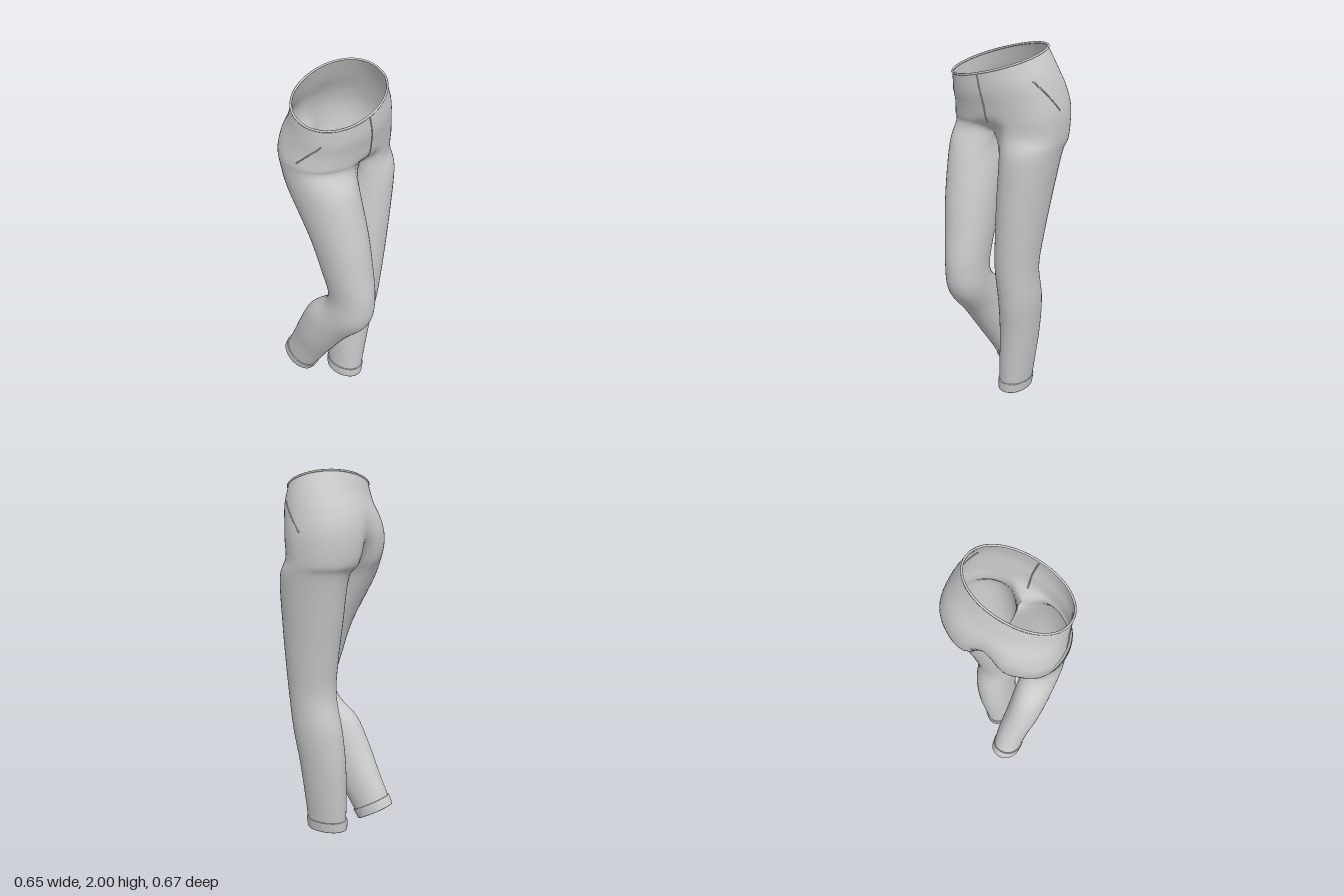
import * as THREE from 'three';
import { mergeVertices } from 'three/addons/utils/BufferGeometryUtils.js';

const NH = 32, NB = 14, SUB = 6;       // outer columns, inner-thigh columns, rows per key
const SPREAD = 0.87;                   // how far the outer columns wrap around a leg

// Hip rings: y, cx, half width, front z, back z, tilt, front dip, back cleft, roundness
const HIP = [
  [1.925, -0.038, 0.272, 0.215, -0.165, 1, 0, 0, 0.96],
  [1.83, -0.017, 0.295, 0.215, -0.2, 0.8, 0, 0, 0.92],
  [1.74, -0.004, 0.312, 0.202, -0.25, 0.5, 0, 0.012, 0.88],
  [1.65, 0, 0.325, 0.19, -0.268, 0.25, 0.006, 0.035, 0.85],
  [1.555, 0, 0.321, 0.186, -0.253, -0.3, 0.06, 0.085, 0.85],
];
const SPLIT = HIP.length - 1;

// Leg rings: cx, cy, cz, half width, half depth, pitch
const LEFT = [
  [0.154, 1.45, 0.005, 0.151, 0.19, 0],
  [0.131, 1.2, 0.03, 0.134, 0.17, 0],
  [0.114, 1.0, 0.045, 0.123, 0.15, 0],
  [0.099, 0.8, 0.05, 0.113, 0.135, 0],
  [0.099, 0.6, 0.018, 0.108, 0.143, 0],
  [0.083, 0.4, -0.005, 0.102, 0.135, 0],
  [0.063, 0.2, -0.011, 0.093, 0.123, 0],
  [0.045, 0.006, -0.013, 0.079, 0.112, 0],
];
const RIGHT = [
  [-0.16, 1.45, 0.02, 0.157, 0.2, 0.1],
  [-0.15, 1.2, 0.115, 0.14, 0.165, 0.15],
  [-0.14, 1.0, 0.163, 0.125, 0.15, 0.12],
  [-0.134, 0.82, 0.195, 0.109, 0.14, 0],
  [-0.138, 0.69, 0.167, 0.108, 0.145, -0.25],
  [-0.145, 0.555, 0.04, 0.105, 0.145, -0.45],
  [-0.14, 0.4, -0.058, 0.1, 0.132, -0.5],
  [-0.125, 0.25, -0.145, 0.09, 0.12, -0.51],
  [-0.122, 0.09, -0.235, 0.08, 0.108, -0.51],
];
const legOf = side => (side > 0 ? LEFT : RIGHT);
const spow = (v, e) => Math.sign(v) * Math.abs(v) ** e;

function hipPoint(side, k, j) {
  const [y, cx, hw, zf, zb, tilt, dip, cleft, e] = HIP[k];
  const t = Math.PI * j / NH, cz = (zf + zb) / 2;
  const dx = side * hw * spow(Math.sin(t), e);
  let z = cz + (zf - zb) / 2 * spow(Math.cos(t), e);
  const mid = Math.exp(-((dx / 0.07) ** 2));
  z += (Math.cos(t) > 0 ? -dip : cleft) * mid;
  return new THREE.Vector3(cx + dx, y + tilt * (0.2 * dx - 0.28 * (z - cz)), z);
}

function legPoint(side, key, j, scale = 1) {
  const [cx, cy, cz, rx, rz, pitch] = key;
  const phi = j <= NH ? -SPREAD + (Math.PI + 2 * SPREAD) * j / NH
    : Math.PI + SPREAD + (Math.PI - 2 * SPREAD) * (j - NH) / NB;
  const d = scale * rz * spow(Math.cos(phi), 0.95);
  return new THREE.Vector3(cx + side * scale * rx * spow(Math.sin(phi), 0.95),
    cy + d * Math.sin(pitch), cz + d * Math.cos(pitch));
}

function keyPoint(side, k, j) {
  const leg = legOf(side);
  if (k > SPLIT) return legPoint(side, leg[Math.min(k - SPLIT - 1, leg.length - 1)], j);
  if (j <= NH) return hipPoint(side, Math.max(k, 0), j);
  // crotch seam running from back to front between the legs
  const f = (j - NH) / NB;
  const p = hipPoint(side, SPLIT, NH).lerp(hipPoint(side, SPLIT, 0), f);
  p.y -= 0.045 * Math.sin(Math.PI * f);
  return p;
}

// Point on the cloth at column j and key position u (smooth through the rings)
function surface(side, j, u) {
  const last = SPLIT + legOf(side).length;
  const i = Math.min(Math.floor(u), last - 1), t = u - i;
  const centre = j === 0 || j === NH;
  const a = j > NH && i === SPLIT ? keyPoint(-side, SPLIT + 1, j) : keyPoint(side, i - 1, j);
  const b = keyPoint(side, i, j), c = keyPoint(side, i + 1, j);
  const d = keyPoint(side, centre && i < SPLIT ? Math.min(i + 2, SPLIT) : i + 2, j);
  const cr = n => {
    const m0 = (c[n] - a[n]) / 2, m1 = (d[n] - b[n]) / 2, t2 = t * t, t3 = t2 * t;
    return (2 * t3 - 3 * t2 + 1) * b[n] + (t3 - 2 * t2 + t) * m0 + (3 * t2 - 2 * t3) * c[n] + (t3 - t2) * m1;
  };
  return new THREE.Vector3(cr('x'), cr('y'), cr('z'));
}

// Adds a strip grid of points; rows run downward
function addGrid(pos, idx, rows, flip) {
  const start = pos.length / 3, w = rows[0].length;
  rows.forEach(r => r.forEach(p => pos.push(p.x, p.y, p.z)));
  for (let r = 0; r < rows.length - 1; r++) for (let j = 0; j < w - 1; j++) {
    const a = start + r * w + j, b = a + 1, c = a + w, d = c + 1;
    idx.push(...(flip ? [a, b, c, b, d, c] : [a, c, b, b, c, d]));
  }
}

function toGeometry(pos, idx) {
  const g = new THREE.BufferGeometry();
  g.setAttribute('position', new THREE.Float32BufferAttribute(pos, 3));
  g.setIndex(idx);
  const m = mergeVertices(g, 1e-5);
  m.computeVertexNormals();
  return m;
}

export function createModel() {
  const group = new THREE.Group();
  const cloth = new THREE.MeshStandardMaterial({ color: 0xcccccc, side: THREE.DoubleSide });
  const add = (name, geometry) => {
    const mesh = new THREE.Mesh(geometry, cloth);
    mesh.name = name;
    group.add(mesh);
  };
  const seam = (name, pts, r, closed = false) =>
    add(name, new THREE.TubeGeometry(new THREE.CatmullRomCurve3(pts, closed), pts.length * 3, r, 6, closed));

  // Seat and both legs as one welded cloth
  const pos = [], idx = [];
  for (const side of [1, -1]) {
    const last = SPLIT + legOf(side).length;
    const row = (u, n) => Array.from({ length: n + 1 }, (_, j) => surface(side, j === NH + NB ? 0 : j, u));
    const hips = [], leg = [];
    for (let r = 0; r <= SPLIT * SUB; r++) hips.push(row(r / SUB, NH));
    for (let r = SPLIT * SUB; r <= last * SUB; r++) leg.push(row(r / SUB, NH + NB));
    addGrid(pos, idx, hips, side < 0);
    addGrid(pos, idx, leg, side < 0);
  }
  add('trouserCloth', toGeometry(pos, idx));

  // Turned-up cuffs: [fraction up the last leg section, scale]
  for (const side of [1, -1]) {
    const leg = legOf(side), end = leg[leg.length - 1], prev = leg[leg.length - 2];
    const rows = [[0.31, 0.99], [0.31, 1.05], [0.29, 1.065], [0.02, 1.065], [0, 1.05], [0, 0.96], [0.1, 0.95]]
      .map(([f, s]) => {
        const key = end.map((v, i) => v + (prev[i] - v) * f);
        return Array.from({ length: NH + NB + 1 }, (_, j) => legPoint(side, key, j === NH + NB ? 0 : j, s));
      });
    const p = [], ix = [];
    addGrid(p, ix, rows, side < 0);
    add(side > 0 ? 'leftCuff' : 'rightCuff', toGeometry(p, ix));
  }

  // Rolled edge around the waist
  const rim = [];
  for (let j = 0; j < NH; j++) rim.push(surface(1, j, 0));
  for (let j = NH; j > 0; j--) rim.push(surface(-1, j, 0));
  seam('waistEdge', rim, 0.006, true);

  // Fly seam and slanted pocket seams
  const steps = [0, 1, 2, 3, 4, 5, 6];
  seam('flySeam', steps.map(s => surface(1, 0, s * 0.53)), 0.0035);
  for (const side of [1, -1])
    seam(side > 0 ? 'leftPocketSeam' : 'rightPocketSeam',
      steps.map(s => surface(side, NH * (0.33 + 0.14 * s / 6), 1 + 1.75 * s / 6)), 0.0035);

  return group;
}
